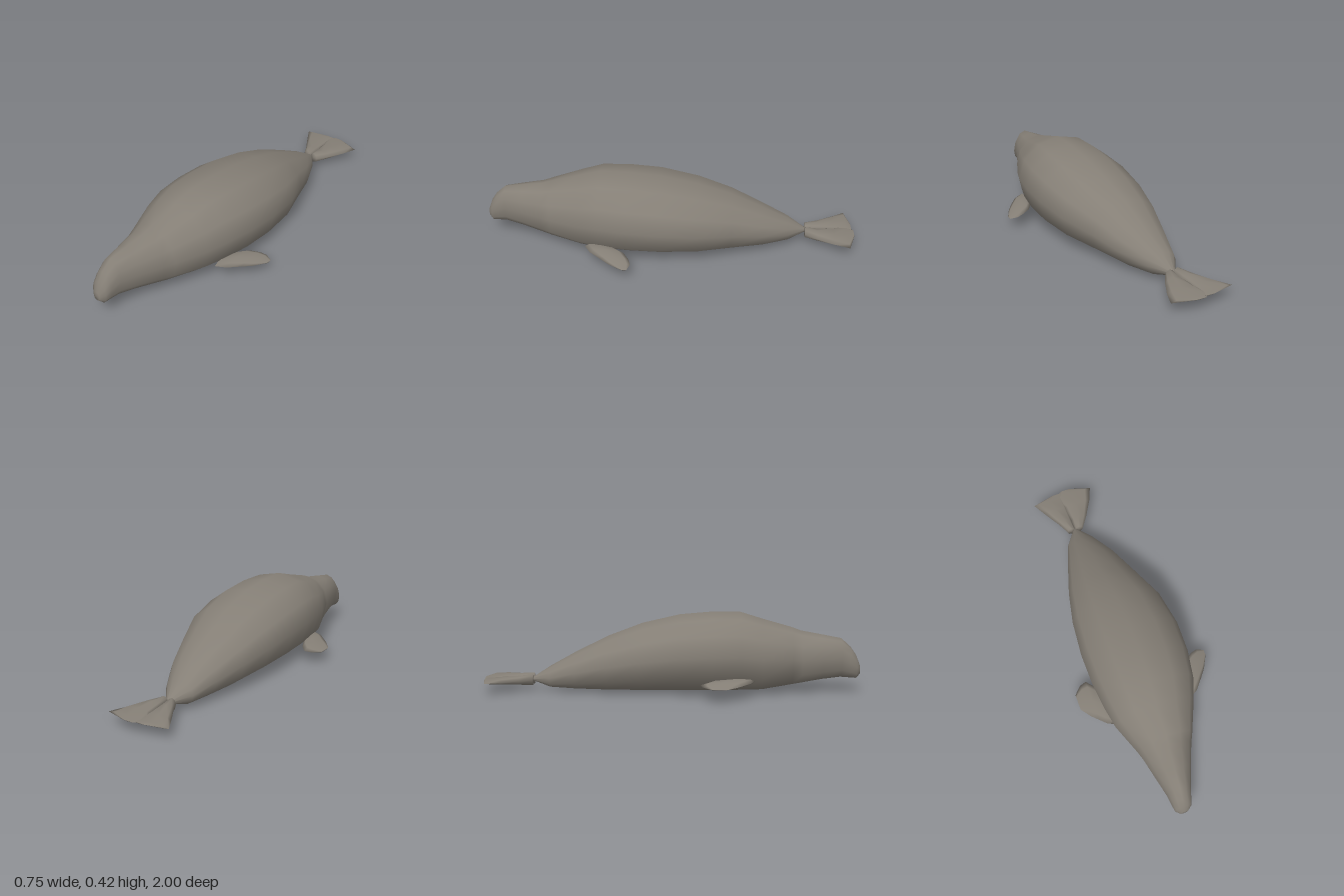
import * as THREE from 'three';

const hide = new THREE.MeshStandardMaterial({ color: 0x857f76 });
hide.name = 'grey brown hide';

// Skin a list of equal rings of points, closing both ends with a fan
function loft(name, rings) {
  const n = rings[0].length, pos = [], idx = [];
  rings.forEach(r => r.forEach(p => pos.push(...p)));
  for (let i = 0; i < rings.length - 1; i++) {
    for (let j = 0; j < n; j++) {
      const a = i * n + j, b = i * n + (j + 1) % n;
      idx.push(a, b, a + n, b, b + n, a + n);
    }
  }
  const cap = (r, start, flip) => {
    const c = pos.length / 3;
    pos.push(...[0, 1, 2].map(k => r.reduce((s, p) => s + p[k], 0) / n));
    for (let j = 0; j < n; j++) {
      const a = start + j, b = start + (j + 1) % n;
      if (flip) idx.push(c, b, a); else idx.push(c, a, b);
    }
  };
  cap(rings[0], 0, true);
  cap(rings[rings.length - 1], (rings.length - 1) * n, false);
  const g = new THREE.BufferGeometry();
  g.setAttribute('position', new THREE.Float32BufferAttribute(pos, 3));
  g.setIndex(idx);
  g.computeVertexNormals();
  const m = new THREE.Mesh(g, hide);
  m.name = name;
  return m;
}

// Oval ring as [sideways, up] factors, with a fuller underside
function oval(n, full = 1) {
  return Array.from({ length: n }, (_, i) => {
    const a = i / n * Math.PI * 2, s = Math.sin(a), c = Math.cos(a);
    const e = c < -0.01 ? full : 1;
    return [Math.sign(s) * Math.abs(s) ** e, Math.sign(c) * Math.abs(c) ** e];
  });
}

// Ring across the body axis: z, left and right x, bottom and top y
const crossRing = (shape, [z, x0, x1, y0, y1]) => shape.map(([s, c]) =>
  [(x0 + x1) / 2 + s * (x1 - x0) / 2, (y0 + y1) / 2 + c * (y1 - y0) / 2, z]);

export function createModel() {
  const model = new THREE.Group();
  model.name = 'seal';

  // Body and head, from nose to tail
  const bodyShape = oval(12, 0.82);
  model.add(loft('body', [
    [1.0, -0.075, -0.035, 0.1, 0.15],
    [0.98, -0.1, -0.01, 0.078, 0.2],
    [0.95, -0.107, 0.0, 0.08, 0.245],
    [0.9, -0.115, 0.015, 0.083, 0.29],
    [0.8, -0.138, 0.055, 0.068, 0.308],
    [0.69, -0.162, 0.1, 0.045, 0.327],
    [0.64, -0.178, 0.125, 0.036, 0.345],
    [0.48, -0.24, 0.195, 0.01, 0.39],
    [0.37, -0.262, 0.235, 0.006, 0.423],
    [0.22, -0.278, 0.262, 0.004, 0.423],
    [0.05, -0.28, 0.268, 0.003, 0.408],
    [-0.15, -0.262, 0.24, 0.004, 0.362],
    [-0.33, -0.225, 0.17, 0.006, 0.295],
    [-0.5, -0.175, 0.105, 0.01, 0.212],
    [-0.64, -0.132, 0.03, 0.02, 0.135],
    [-0.745, -0.06, -0.05, 0.055, 0.067],
  ].map(r => crossRing(bodyShape, r))));

  // Front flippers: x, height, half thickness, front z, back z
  const flipper = (name, side, rows) => loft(name, rows.map(([x, y, t, zf, zb]) =>
    oval(8).map(([s, c]) =>
      [side * x, y + c * t, (zf + zb) / 2 + side * s * (zf - zb) / 2])));
  model.add(flipper('leftFlipper', 1, [
    [0.2, 0.085, 0.018, 0.44, 0.3],
    [0.25, 0.083, 0.018, 0.41, 0.23],
    [0.3, 0.078, 0.013, 0.35, 0.2],
    [0.335, 0.072, 0.008, 0.305, 0.19],
    [0.372, 0.065, 0.002, 0.235, 0.205],
  ]));
  model.add(flipper('rightFlipper', -1, [
    [0.22, 0.085, 0.018, 0.44, 0.3],
    [0.265, 0.084, 0.018, 0.42, 0.2],
    [0.3, 0.08, 0.014, 0.385, 0.16],
    [0.335, 0.076, 0.009, 0.35, 0.17],
    [0.375, 0.071, 0.002, 0.295, 0.21],
  ]));

  // Hind flippers, fanned out flat behind the tail
  const fluke = (name, rows) => loft(name, rows.map(r => crossRing(oval(8), r)));
  model.add(fluke('leftHindFlipper', [
    [-0.735, -0.055, -0.008, 0.03, 0.09],
    [-0.8, -0.058, 0.035, 0.035, 0.085],
    [-0.89, -0.075, 0.085, 0.045, 0.079],
    [-0.965, -0.1, 0.115, 0.056, 0.071],
    [-1.0, -0.055, 0.0, 0.063, 0.067],
  ]));
  model.add(fluke('rightHindFlipper', [
    [-0.735, -0.1, -0.055, 0.03, 0.09],
    [-0.8, -0.133, -0.055, 0.035, 0.085],
    [-0.89, -0.188, -0.05, 0.045, 0.079],
    [-0.963, -0.23, -0.045, 0.056, 0.071],
    [-0.99, -0.115, -0.05, 0.063, 0.067],
  ]));

  return model;
}
